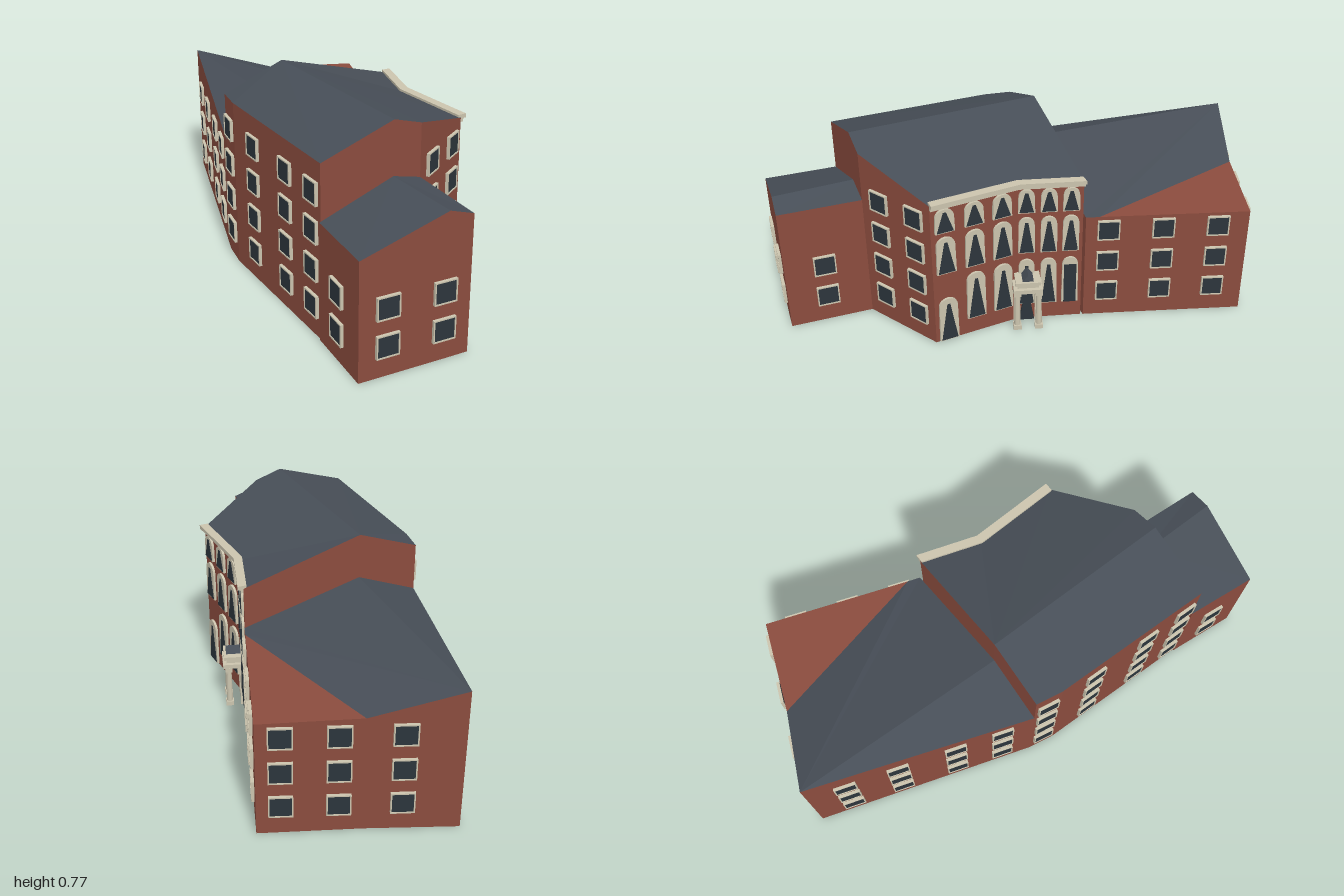
import * as THREE from 'three';

const mat = (color, side = THREE.FrontSide) =>
  new THREE.MeshStandardMaterial({ color, side, flatShading: true });
const brick = mat(0x8b4c3e, THREE.DoubleSide);
const slate = mat(0x474e57, THREE.DoubleSide);
const glass = mat(0x2c353c);
const stone = mat(0xcbc4ae);

// Plan corners: [x, z, wall height], counter-clockwise seen from above
const W = [-0.445, -0.12, 0.675], V = [-0.465, -0.01, 0.675], I = [-0.485, 0.66, 0.675];
const P = [-0.19, 0.66, 0.77], F = [-0.075, 0.66, 0.735], E = [0.235, 0.49, 0.635];
const D = [0.222, 0.13, 0.635], C = [0.3, -0.11, 0.635], R = [-0.19, -0.12, 0.77];
const A = [-0.155, -1, 0.575], W2 = [-0.445, -0.12, 0.48], R2 = [-0.19, -0.12, 0.585];
const C2 = [0.305, -0.12, 0.47], N = [0.322, -0.17, 0.47], B = [0.52, -0.73, 0.468], M = [0.165, -0.865, 0.475];
const I3 = [-0.49, 0.66, 0.46], H = [-0.52, 0.95, 0.455], Q = [-0.19, 0.982, 0.56];
const G = [-0.097, 0.99, 0.53], F3 = [-0.075, 0.66, 0.53], S = [-0.19, 0.66, 0.56];

function mesh(name, geometry, material, x = 0, y = 0, z = 0) {
  const m = new THREE.Mesh(geometry, material);
  m.name = name;
  m.position.set(x, y, z);
  return m;
}

// Fans each polygon of 3D points into triangles
function faces(polys) {
  const pos = [];
  for (const p of polys)
    for (let i = 1; i < p.length - 1; i++) pos.push(...p[0], ...p[i], ...p[i + 1]);
  const g = new THREE.BufferGeometry();
  g.setAttribute('position', new THREE.Float32BufferAttribute(pos, 3));
  g.computeVertexNormals();
  return g;
}
const low = ([x, z]) => [x, 0, z];
const high = ([x, z, h]) => [x, h, z];

// A block: walls round the plan, floor underneath, roof planes above
function block(name, plan, slopes, flats = []) {
  const g = new THREE.Group();
  g.name = name;
  const walls = plan.map((a, i) => {
    const b = plan[(i + 1) % plan.length];
    return [low(a), low(b), high(b), high(a)];
  });
  const tris = THREE.ShapeUtils.triangulateShape(plan.map(([x, z]) => new THREE.Vector2(x, -z)), []);
  const floor = tris.map(([a, b, c]) => [low(plan[a]), low(plan[c]), low(plan[b])]);
  g.add(mesh(name + 'Walls', faces([...walls, ...floor, ...flats.map(f => f.map(high))]), brick));
  g.add(mesh(name + 'Roof', faces(slopes.map(s => s.map(high))), slate));
  return g;
}

// Puts an object on the wall a-b, facing outward, at fraction t and height y
function onWall(a, b, t, y, obj, out = 0) {
  const dx = b[0] - a[0], dz = b[1] - a[1], len = Math.hypot(dx, dz);
  obj.position.set(a[0] + dx * t - dz / len * out, y, a[1] + dz * t + dx / len * out);
  obj.rotation.y = Math.atan2(-dz, dx);
  return obj;
}

const extrude = (shape, depth) =>
  new THREE.ExtrudeGeometry(shape, { depth, bevelEnabled: false, curveSegments: 6 });
const poly = pts => new THREE.Shape(pts.map(p => new THREE.Vector2(...p)));
const rect = (w, h, e = 0) =>
  [[-w / 2 + e, e], [w / 2 - e, e], [w / 2 - e, h - e], [-w / 2 + e, h - e]];

// Square window: stone frame round a dark pane
const SIZE = 0.088;
const frameShape = poly(rect(SIZE, SIZE));
frameShape.holes.push(new THREE.Path(rect(SIZE, SIZE, 0.005).map(p => new THREE.Vector2(...p))));
const frameGeo = extrude(frameShape, 0.012);
const paneGeo = extrude(poly(rect(SIZE, SIZE, 0.004)), 0.009);
function squareWindow() {
  const g = new THREE.Group();
  g.name = 'window';
  g.add(mesh('windowFrame', frameGeo, stone), mesh('windowPane', paneGeo, glass));
  return g;
}

// Arched bay: stone panel with a tapering dark pane
function archedWindow(w, h, door) {
  const g = new THREE.Group();
  g.name = 'archedWindow';
  const r = w / 2, rise = Math.min(r, 0.035);
  const s = new THREE.Shape();
  s.moveTo(-r, 0);
  s.lineTo(r, 0);
  s.lineTo(r * 0.95, h - rise);
  s.absellipse(0, h - rise, r * 0.95, rise, 0, Math.PI);
  s.lineTo(-r, 0);
  const pane = door ? rect(w * 0.75, h * 0.85) : [[-r * 0.85, 0.004], [r * 0.85, 0.004], [0.006, h * 0.87], [-0.006, h * 0.87]];
  g.add(mesh('archSurround', extrude(s, 0.01), stone), mesh('archPane', extrude(poly(pane), 0.012), glass));
  return g;
}

// Entrance porch: two columns, entablature and small gable
function porch() {
  const g = new THREE.Group();
  g.name = 'porch';
  const box = (name, w, h, d, x, y, z) => g.add(mesh(name, new THREE.BoxGeometry(w, h, d), stone, x, y, z));
  const shaft = new THREE.CylinderGeometry(0.011, 0.013, 0.15, 12);
  for (const x of [-0.043, 0.043]) {
    box('columnBase', 0.032, 0.02, 0.032, x, 0.01, 0.062);
    g.add(mesh('columnShaft', shaft, stone, x, 0.09, 0.062));
    box('columnCapital', 0.03, 0.018, 0.03, x, 0.172, 0.062);
    box('pilaster', 0.022, 0.18, 0.016, x, 0.09, 0.008);
  }
  box('entablature', 0.115, 0.018, 0.085, 0, 0.19, 0.0425);
  box('frieze', 0.085, 0.018, 0.07, 0, 0.207, 0.035);
  box('upperCornice', 0.1, 0.014, 0.08, 0, 0.223, 0.04);
  g.add(mesh('gable', extrude(poly([[-0.022, 0], [0.022, 0], [0, 0.03]]), 0.06), slate, 0, 0.23, 0.01));
  g.add(mesh('door', extrude(poly([[-0.03, 0], [0.03, 0], [0.005, 0.15], [-0.005, 0.15]]), 0.013), glass));
  return g;
}

// Cornice strip along the bent facade, mitred at the bend
function cornice(name, y, h, out, inset) {
  const xs = (p, o) => p[0] + o;
  const path = [[E, 0], [D, 0], [C, 0]];
  const s = poly([
    ...path.map(([p]) => [xs(p, out), -p[1]]),
    ...path.map(([p]) => [xs(p, -inset), -p[1]]).reverse(),
  ]);
  const g = extrude(s, h);
  g.rotateX(-Math.PI / 2);
  return mesh(name, g, stone, 0, y, 0);
}

export function createModel() {
  const model = new THREE.Group();
  model.name = 'building';

  model.add(
    block('mainBlock', [W, V, I, P, F, E, D, C, R], [[R, W, V, I, P], [R, P, F, E, D, C]]),
    block('backWing', [A, W2, R2, C2, N, B, M], [[A, W2, R2], [A, R2, C2, N, M]], [[N, B, M]]),
    block('frontWing', [I3, H, Q, G, F3, S], [[S, I3, H, Q], [S, Q, G, F3]]),
  );

  // Square windows: wall ends, positions along the wall, number of storeys
  const rows = [
    [H, G, [0.25, 0.76], 2],
    [G, F3, [0.48], 2],
    [I3, H, [0.48], 2],
    [F, E, [0.27, 0.775], 4],
    [C2, B, [0.14, 0.475, 0.81], 3],
    [B, A, [0.12, 0.4, 0.71], 3],
    [A, W2, [0.165, 0.395, 0.65, 0.86], 3],
    [W, V, [0.5], 4],
    [V, I, [0.25, 0.63, 0.91], 4],
  ];
  for (const [a, b, ts, storeys] of rows)
    for (const t of ts)
      for (let k = 0; k < storeys; k++) model.add(onWall(a, b, t, 0.077 + k * 0.145, squareWindow()));

  // Arched bays on the two facade walls
  const bays = [[E, D, 0.435], [E, D, 0.316], [E, D, 0.2], [D, C, 0.1], [D, C, 0.017], [D, C, -0.065]];
  bays.forEach(([a, b, z], i) => {
    const t = (z - a[1]) / (b[1] - a[1]);
    const w = i < 3 ? 0.08 : 0.066;
    const add = (y, h, door) => model.add(onWall(a, b, t, y, archedWindow(w, h, door)));
    add(0.51, 0.103);
    add(0.325, 0.163);
    if (i === 0) add(0.005, 0.2);
    else add(0.077, 0.215, i === 5);
    if (i === 3) model.add(onWall(a, b, t, 0, porch()));
  });

  model.add(cornice('corniceLower', 0.618, 0.014, 0.012, 0.005), cornice('corniceTop', 0.632, 0.016, 0.024, 0.012));
  return model;
}
